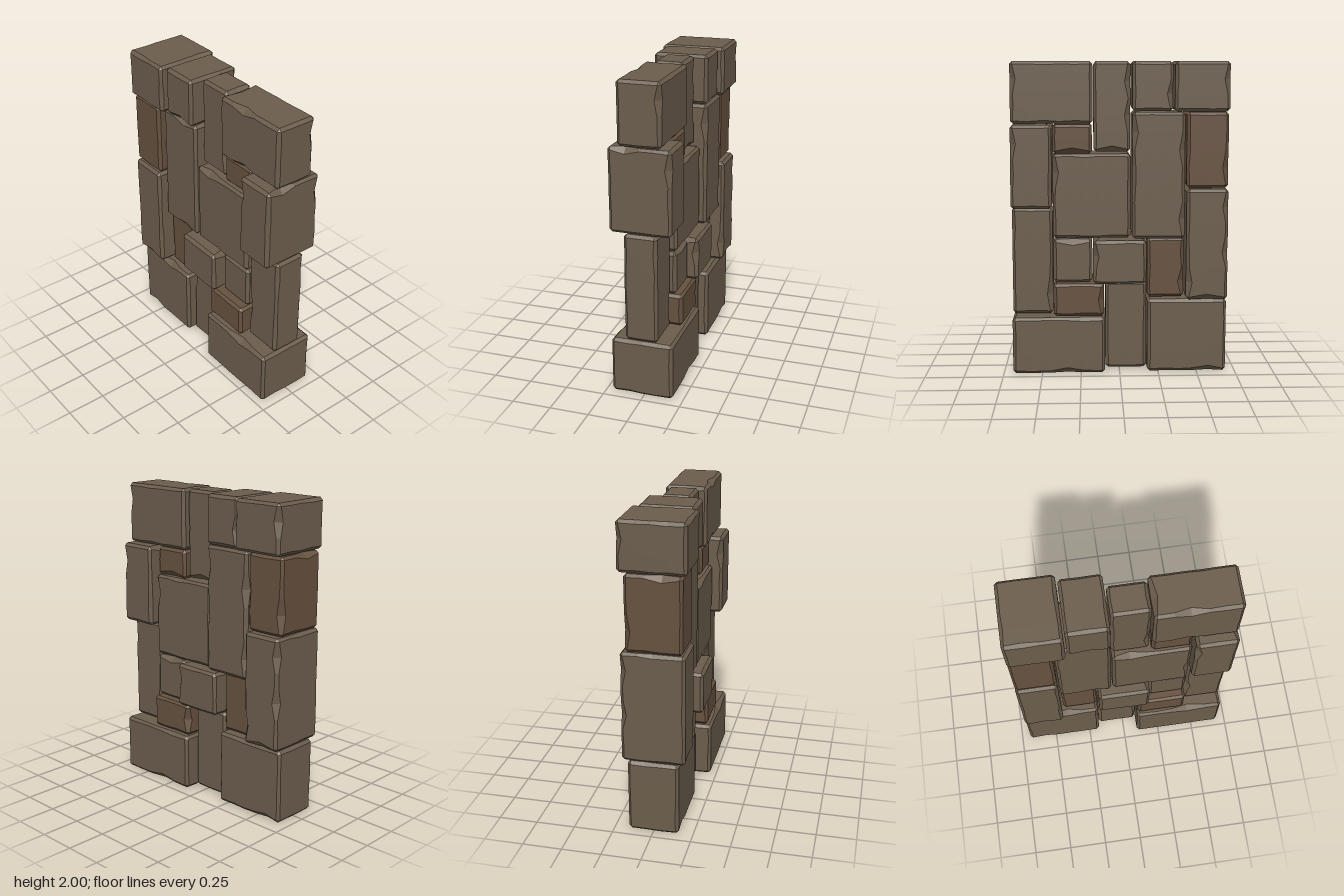
import * as THREE from 'three';

// Each stone: z from, z to, y from, y to, x from, x to, tone
const STONES = [
  // top course
  [0.17, 0.69, 1.61, 2.0, -0.15, 0.12, 0],
  [-0.07, 0.165, 1.43, 2.0, -0.1, 0.09, 0],
  [-0.335, -0.08, 1.69, 2.0, -0.18, 0.17, 0],
  [-0.69, -0.345, 1.69, 2.0, -0.21, 0.205, 0],
  // upper courses
  [0.43, 0.69, 1.075, 1.605, -0.21, 0.18, 0],
  [0.175, 0.425, 1.42, 1.605, -0.12, 0.11, 1],
  [-0.07, 0.425, 0.88, 1.42, -0.145, 0.13, 0],
  [-0.415, -0.08, 0.88, 1.685, -0.15, 0.17, 0],
  [-0.69, -0.425, 1.205, 1.685, -0.185, 0.165, 1],
  // lower courses
  [0.43, 0.69, 0.375, 1.07, -0.12, 0.09, 0],
  [0.175, 0.425, 0.59, 0.87, -0.13, 0.125, 0],
  [-0.17, 0.17, 0.59, 0.87, -0.205, 0.19, 0],
  [-0.415, -0.18, 0.485, 0.875, -0.11, 0.11, 1],
  [-0.69, -0.425, 0.485, 1.2, -0.2, 0.197, 0],
  [0.1, 0.425, 0.375, 0.585, -0.185, 0.165, 1],
  // bottom course
  [-0.175, 0.09, 0.01, 0.585, -0.11, 0.1, 0],
  [0.095, 0.69, 0, 0.368, -0.21, 0.185, 0],
  [-0.69, -0.18, 0, 0.48, -0.16, 0.16, 0],
];

const BEVEL = 0.018;

// Repeatable noise from 0 to 1
function noise(n) {
  const s = Math.sin(n * 127.1 + 11.7) * 43758.5453;
  return s - Math.floor(s);
}

// Bevelled block whose bevel widens here and there into chips
function stoneGeometry(size, seed) {
  const seg = size.map((s) => 2 + Math.max(2, Math.round(s / 0.11)));
  const geo = new THREE.BoxGeometry(1, 1, 1, ...seg);
  const pos = geo.attributes.position;

  // Bevel width on the edge between axes a and c, at step k of the third axis
  const width = (a, sa, c, sc, k) => {
    const t = 3 - a - c;
    if (k <= 1 || k >= seg[t] - 1) return BEVEL;
    const key = seed * 31.3 + t * 7.7 + (sa + 1) * (a + 1) * 1.9 + (sc + 1) * (c + 1) * 2.3 + k * 0.61;
    const n = noise(key);
    return BEVEL * (n > 0.88 ? 2.1 : 0.75 + n * 0.6);
  };

  for (let i = 0; i < pos.count; i++) {
    const p = [pos.getX(i), pos.getY(i), pos.getZ(i)];
    const idx = p.map((v, a) => Math.round((v + 0.5) * seg[a]));
    const sign = p.map((v) => (v < 0 ? -1 : 1));
    const outer = [0, 1, 2].filter((a) => idx[a] === 0 || idx[a] === seg[a]);
    const out = p.map((v, a) => {
      // evenly spaced steps between the two bevels
      const f = (idx[a] - 1) / (seg[a] - 2);
      return (f - 0.5) * (size[a] - 2 * BEVEL);
    });
    for (const a of outer) out[a] = (sign[a] * size[a]) / 2;

    if (outer.length === 3) {
      for (const a of outer) out[a] -= sign[a] * BEVEL * 0.66;
    } else if (outer.length === 2) {
      const [a, c] = outer;
      const w = width(a, sign[a], c, sign[c], idx[3 - a - c]);
      out[a] -= (sign[a] * w) / 2;
      out[c] -= (sign[c] * w) / 2;
    } else {
      const a = outer[0];
      for (let c = 0; c < 3; c++) {
        if (c === a || (idx[c] !== 1 && idx[c] !== seg[c] - 1)) continue;
        const lo = Math.min(a, c), hi = Math.max(a, c);
        const w = width(lo, sign[lo], hi, sign[hi], idx[3 - a - c]);
        out[c] = sign[c] * (size[c] / 2 - w);
      }
    }
    pos.setXYZ(i, ...out);
  }
  const flat = geo.toNonIndexed();
  flat.computeVertexNormals();
  return flat;
}

export function createModel() {
  const group = new THREE.Group();
  group.name = 'stoneWall';
  const materials = [0x6b5d4c, 0x66513f].map(
    (color) => new THREE.MeshStandardMaterial({ color, flatShading: true })
  );

  STONES.forEach(([z0, z1, y0, y1, x0, x1, tone], i) => {
    const stone = new THREE.Mesh(stoneGeometry([x1 - x0, y1 - y0, z1 - z0], i + 1), materials[tone]);
    stone.name = `stone${i + 1}`;
    stone.position.set((x0 + x1) / 2, (y0 + y1) / 2, (z0 + z1) / 2);
    group.add(stone);
  });
  return group;
}
